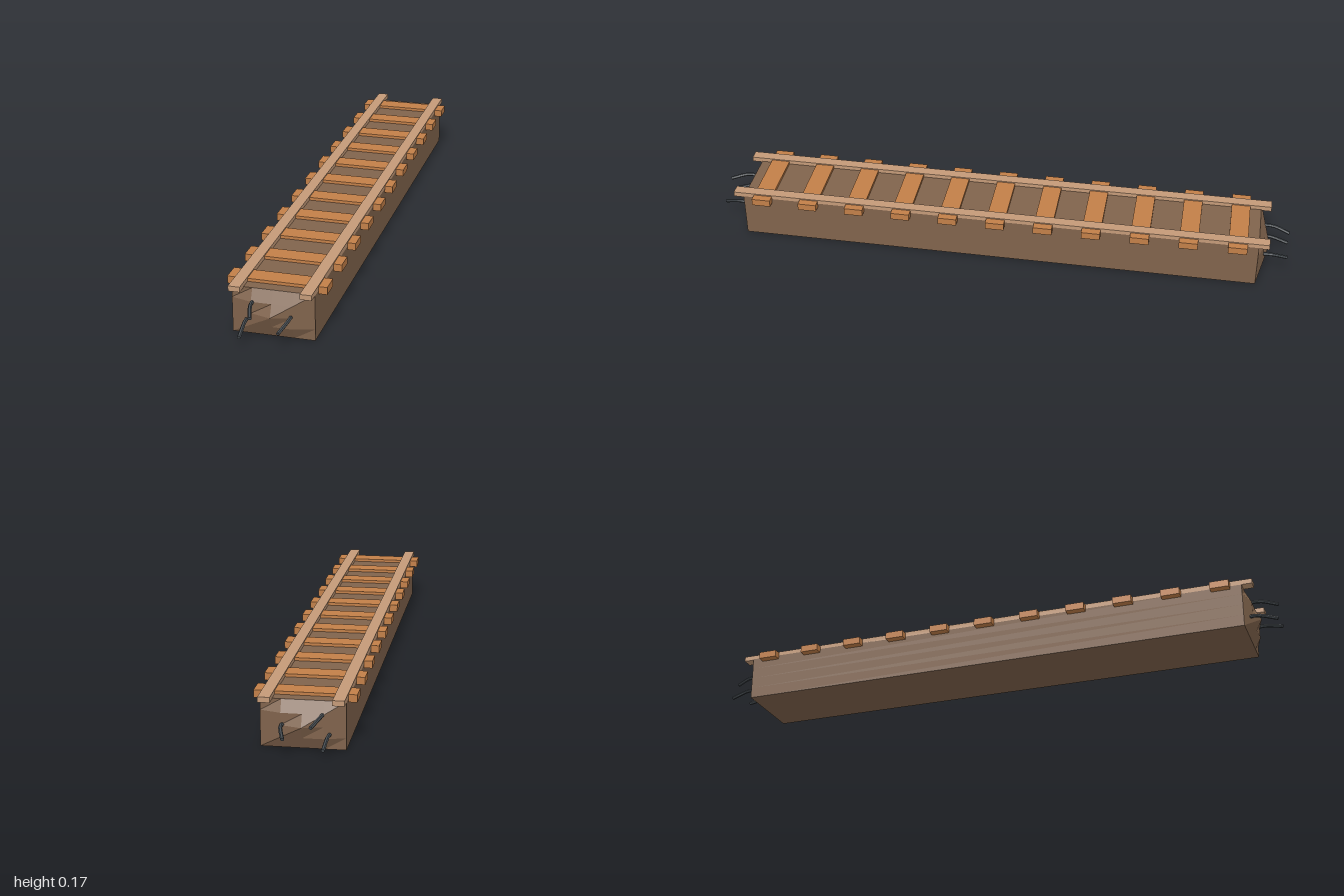
import * as THREE from 'three';

const mat = (color) => new THREE.MeshStandardMaterial({ color, flatShading: true });

export function createModel() {
  const model = new THREE.Group();
  const earth = mat(0x80634c), wood = mat(0xc27f48), paleWood = mat(0xc49a78), iron = mat(0x454b50);

  const add = (name, geometry, material, x = 0, y = 0, z = 0) => {
    const mesh = new THREE.Mesh(geometry, material);
    mesh.name = name;
    mesh.position.set(x, y, z);
    model.add(mesh);
    return mesh;
  };

  // Long earth bed, its two ends swelling out to a faceted point
  const w = 0.13, h = 0.076, d = 0.895;
  const bed = new THREE.BoxGeometry(w * 2, h * 2, d * 2, 4, 4, 1);
  const p = bed.attributes.position;
  for (let i = 0; i < p.count; i++) {
    const u = 1 - Math.abs(p.getX(i)) / w, v = 1 - Math.abs(p.getY(i)) / h;
    p.setZ(i, p.getZ(i) + Math.sign(p.getZ(i)) * 0.038 * Math.max(0, Math.min(u, v)));
  }
  bed.computeVertexNormals();
  add('bed', bed, earth, 0, h, 0);

  // Eleven cross ties
  const tie = new THREE.BoxGeometry(0.314, 0.024, 0.064);
  for (let i = 0; i < 11; i++) add('tie', tie, wood, 0, 0.15, (i - 5) * 0.165);

  // Two rails
  const rail = new THREE.BoxGeometry(0.037, 0.017, 1.86);
  for (const s of [-1, 1]) add('rail', rail, paleWood, s * 0.1115, 0.1575, 0);

  // Three bent iron rods jutting from each end
  const rods = [
    [[-0.062, 0.11, 0.89], [-0.058, 0.114, 0.94], [-0.04, 0.102, 0.998]],
    [[-0.084, 0.046, 0.88], [-0.08, 0.053, 0.93], [-0.076, 0.034, 0.998]],
    [[0.056, 0.074, 0.89], [0.061, 0.08, 0.935], [0.044, 0.061, 0.995]],
  ];
  const radius = 0.006, sides = 6;
  for (const s of [-1, 1]) {
    for (const points of rods) {
      const curve = new THREE.CatmullRomCurve3(points.map(([x, y, z]) => new THREE.Vector3(x, y, z * s)));
      add('rod', new THREE.TubeGeometry(curve, 6, radius, sides), iron);
      // Closed tip
      const tip = curve.getPoint(1);
      const cap = add('rodTip', new THREE.CircleGeometry(radius, sides), iron, tip.x, tip.y, tip.z);
      cap.lookAt(tip.clone().add(curve.getTangent(1)));
    }
  }
  return model;
}
